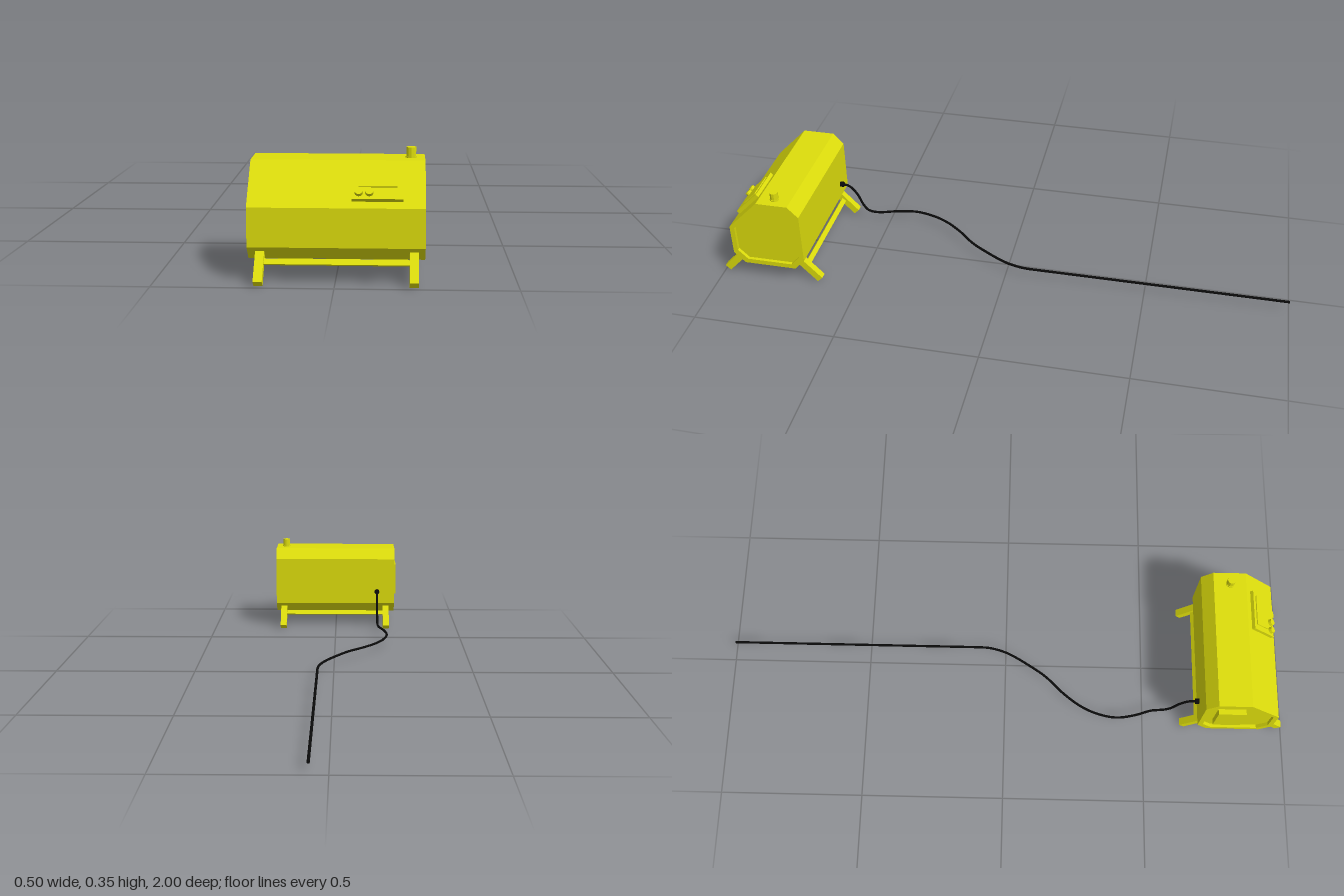
import * as THREE from 'three';

const yellow = new THREE.MeshStandardMaterial({ color: 0xdddd0c, flatShading: true });
const black = new THREE.MeshStandardMaterial({ color: 0x0a0a0a });

const CX = 0.0025, CY = 0.1925, CZ = 0.816; // centre of the housing
const LENGTH = 0.489;

function add(parent, name, geometry, material, x = 0, y = 0, z = 0) {
  const mesh = new THREE.Mesh(geometry, material);
  mesh.name = name;
  mesh.position.set(x, y, z);
  parent.add(mesh);
  return mesh;
}

// Housing cross-section as (z, y) corners
const PROFILE = [
  [0.908, 0.06], [0.947, 0.1], [0.947, 0.211], [0.835, 0.325],
  [0.722, 0.325], [0.685, 0.286], [0.685, 0.1], [0.722, 0.06],
];
const profilePoints = (s) => PROFILE.map(([z, y]) =>
  new THREE.Vector2((z - CZ) * s, (y - CY) * s));

// Extrudes a cross-section along x, centred
function extrudeAlongX(shape, length) {
  const g = new THREE.ExtrudeGeometry(shape, { depth: length, bevelEnabled: false });
  g.translate(0, 0, -length / 2);
  g.rotateY(-Math.PI / 2);
  return g;
}

function buildHousing() {
  const group = new THREE.Group();
  group.name = 'housing';
  const shell = new THREE.Shape(profilePoints(1));
  shell.holes.push(new THREE.Path(profilePoints(0.87).reverse()));
  add(group, 'shell', extrudeAlongX(shell, LENGTH), yellow, CX, CY, CZ);
  // Core leaves a shallow recess at both ends
  add(group, 'endPanels', extrudeAlongX(new THREE.Shape(profilePoints(0.87)), LENGTH - 0.024),
    yellow, CX, CY, CZ);
  add(group, 'sideHatch', new THREE.BoxGeometry(0.022, 0.124, 0.095), yellow, -0.238, 0.193, 0.78);
  return group;
}

// Local z is the outward normal of the sloping front face
function buildControlPanel() {
  const group = new THREE.Group();
  group.name = 'controlPanel';
  group.position.set(0.115, 0.268, 0.891);
  group.rotation.x = -Math.PI / 4;
  add(group, 'panelPlate', new THREE.BoxGeometry(0.141, 0.116, 0.026), yellow, 0, 0, 0);
  add(group, 'screen', new THREE.BoxGeometry(0.106, 0.065, 0.004), yellow, 0.001, 0.013, 0.0145);
  for (const x of [-0.051, -0.022]) {
    const knob = new THREE.CylinderGeometry(0.0115, 0.0115, 0.012, 12).rotateX(Math.PI / 2);
    add(group, 'knob', knob, yellow, x, -0.038, 0.018);
  }
  return group;
}

// Pair of splayed legs and their rail; side is 1 for front, -1 for back
function buildLegs(side) {
  const group = new THREE.Group();
  group.name = side > 0 ? 'frontLegs' : 'backLegs';
  const frame = new THREE.Group();
  frame.rotation.x = -side * 0.76;
  frame.position.set(0, 0.0091, CZ + side * 0.1745);
  for (const x of [-0.2075, 0.2165]) {
    add(frame, 'leg', new THREE.BoxGeometry(0.025, 0.13, 0.025), yellow, x, 0.065, 0);
  }
  add(frame, 'legRail', new THREE.BoxGeometry(0.42, 0.018, 0.006), yellow, 0.0045, 0.069, 0);
  group.add(frame);
  return group;
}

function buildChimney() {
  const group = new THREE.Group();
  group.name = 'chimney';
  group.position.set(0.208, 0.325, 0.78);
  add(group, 'chimneyBase', new THREE.CylinderGeometry(0.0165, 0.0165, 0.004, 10), yellow, 0, 0.002, 0);
  add(group, 'chimneyPipe', new THREE.CylinderGeometry(0.0145, 0.0145, 0.03, 10), yellow, 0, 0.015, 0);
  return group;
}

function buildCord() {
  const group = new THREE.Group();
  group.name = 'powerCord';
  const F = 0.0378; // height of the cord where it runs level
  const points = [
    [-0.17, 0.15, 0.684], [-0.17, 0.147, 0.655], [-0.17, 0.132, 0.636],
    [-0.17, 0.105, 0.618], [-0.17, 0.066, 0.601], [-0.17, 0.044, 0.583],
    [-0.171, F, 0.56], [-0.174, F, 0.53], [-0.193, F, 0.47], [-0.203, F, 0.4],
    [-0.188, F, 0.328], [-0.16, F, 0.27], [-0.114, F, 0.21], [-0.054, F, 0.148],
    [-0.02, F, 0.1], [0.035, F, 0.005], [0.053, F, -0.055], [0.056, F, -0.09],
  ].map((p) => new THREE.Vector3(...p));
  add(group, 'cordCurve', new THREE.TubeGeometry(
    new THREE.CatmullRomCurve3(points, false, 'centripetal'), 70, 0.0045, 8), black);
  const run = new THREE.CylinderGeometry(0.0045, 0.0045, 0.912, 8).rotateX(Math.PI / 2);
  add(group, 'cordStraight', run, black, 0.056, F, -0.544);
  // Rounded gland where the cord leaves the back wall
  const gland = new THREE.CylinderGeometry(0.01, 0.01, 0.018, 12).rotateX(Math.PI / 2);
  add(group, 'cordGland', gland, black, -0.17, 0.15, 0.681);
  return group;
}

export function createModel() {
  const model = new THREE.Group();
  model.name = 'portableHeater';
  model.add(buildHousing(), buildControlPanel(), buildLegs(1), buildLegs(-1),
    buildChimney(), buildCord());
  return model;
}
